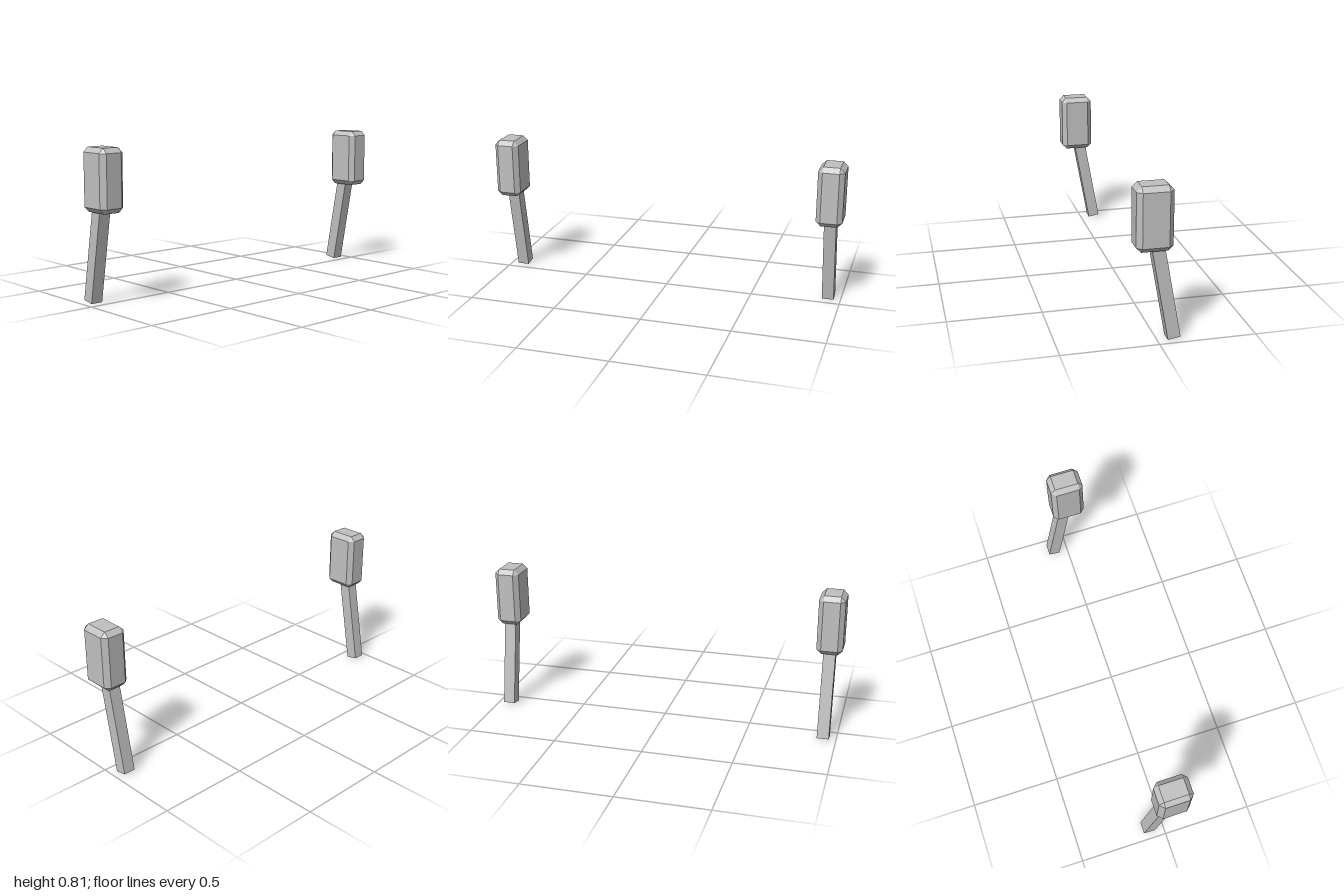
import * as THREE from 'three';
import { ConvexGeometry } from 'three/addons/geometries/ConvexGeometry.js';

// Box with every edge cut flat and triangular corners
function chamferedBox(width, height, depth, cut) {
  const half = new THREE.Vector3(width / 2, height / 2, depth / 2);
  const points = [];
  for (const sx of [-1, 1]) for (const sy of [-1, 1]) for (const sz of [-1, 1]) {
    for (const axis of ['x', 'y', 'z']) {
      const p = half.clone().subScalar(cut);
      p[axis] += cut;
      points.push(p.multiply(new THREE.Vector3(sx, sy, sz)));
    }
  }
  return new ConvexGeometry(points);
}

export function createModel() {
  const model = new THREE.Group();
  model.name = 'armPair';
  const grey = new THREE.MeshStandardMaterial({ color: 0xc0c0c0, flatShading: true });
  grey.name = 'grey';

  const tilt = THREE.MathUtils.degToRad(10.2);
  const length = 0.53;
  const blockGeometry = chamferedBox(0.142, 0.331, 0.186, 0.026);
  const barGeometry = new THREE.BoxGeometry(0.066, length, 0.066);
  barGeometry.translate(0, length / 2, 0);

  for (const [side, sign] of [['left', 1], ['right', -1]]) {
    const arm = new THREE.Group();
    arm.name = side + 'Arm';
    arm.position.x = sign * 0.929;

    // Upper chamfered block
    const block = new THREE.Mesh(blockGeometry, grey);
    block.name = side + 'UpperBlock';
    block.position.set(0, 0.6485, 0.025);

    // Square bar leaning back towards its foot
    const bar = new THREE.Mesh(barGeometry, grey);
    bar.name = side + 'LowerBar';
    bar.position.set(0, 0.006, -0.0855);
    bar.rotation.x = tilt;

    arm.add(block, bar);
    model.add(arm);
  }
  return model;
}
